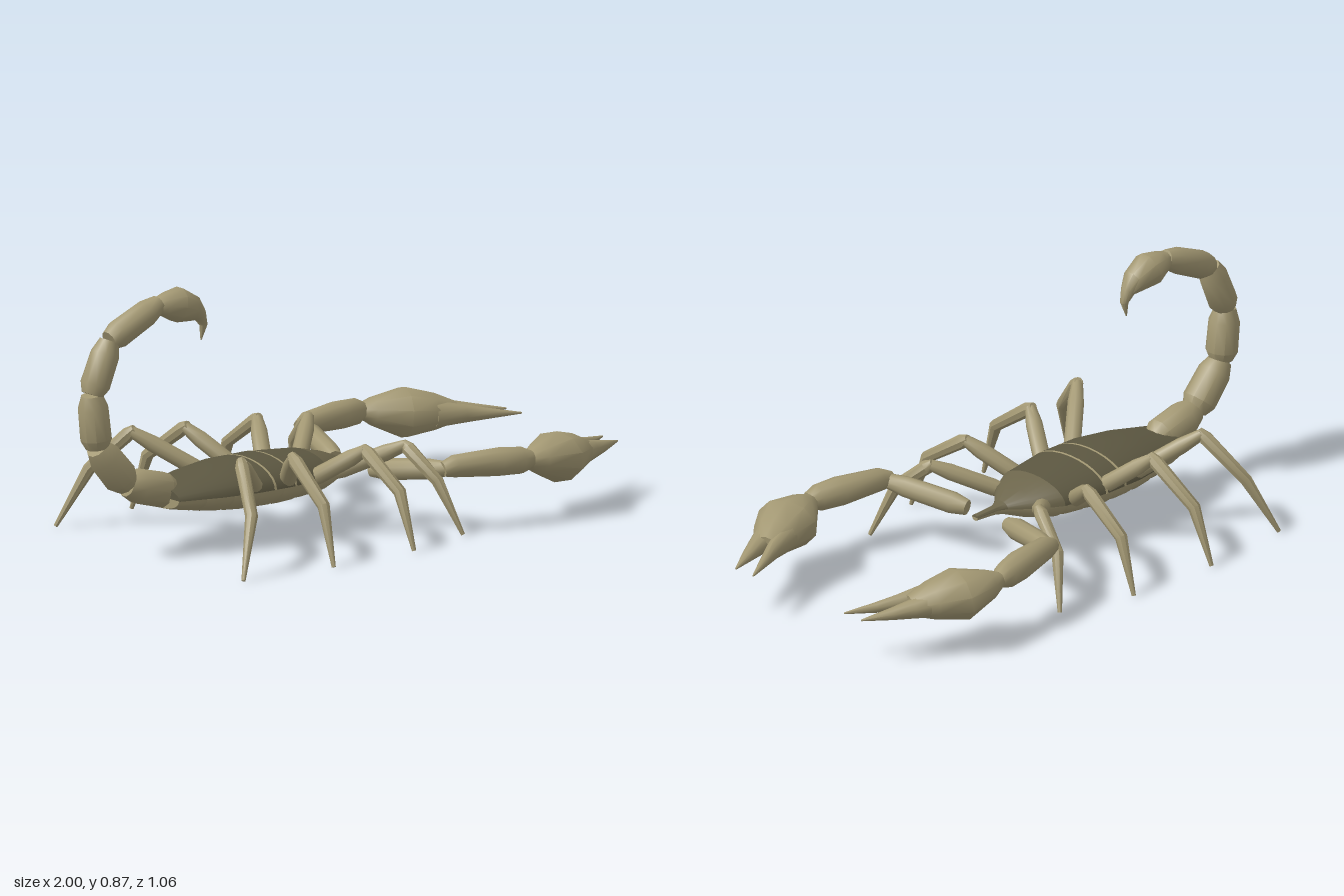
import * as THREE from 'three';
import { toCreasedNormals } from 'three/addons/utils/BufferGeometryUtils.js';

const V = (x, y, z) => new THREE.Vector3(x, y, z);
const UP = V(0, 1, 0);

// Lofts elliptical rings along a path. Each ring: [centre, radius along ref, radius across].
function loft(rings, ref = UP, sides = 10, start = 0, sweep = Math.PI * 2) {
  const pos = [], idx = [], n = rings.length, w = sides + 1;
  rings.forEach(([c, a, b = a], i) => {
    const t = rings[Math.min(i + 1, n - 1)][0].clone().sub(rings[Math.max(i - 1, 0)][0]).normalize();
    const u = ref.clone().addScaledVector(t, -ref.dot(t)).normalize();
    const v = t.clone().cross(u);
    for (let j = 0; j <= sides; j++) {
      const q = start + (sweep * j) / sides;
      const p = c.clone().addScaledVector(u, Math.cos(q) * a).addScaledVector(v, Math.sin(q) * b);
      pos.push(p.x, p.y, p.z);
    }
  });
  const first = n * w, last = first + 1;
  pos.push(...rings[0][0].toArray(), ...rings[n - 1][0].toArray());
  for (let j = 0; j < sides; j++) {
    for (let i = 0; i < n - 1; i++) {
      const a = i * w + j, c = a + w;
      idx.push(a, a + 1, c, a + 1, c + 1, c);
    }
    idx.push(first, j + 1, j, last, (n - 1) * w + j, (n - 1) * w + j + 1);
  }
  const g = new THREE.BufferGeometry();
  g.setAttribute('position', new THREE.Float32BufferAttribute(pos, 3));
  g.setIndex(idx);
  return toCreasedNormals(g, 0.75);
}

// One armoured joint: a barrel narrowed at both ends.
function joint(a, b, r0, r1, ref) {
  const at = (t, k) => [a.clone().lerp(b, t), (r0 + (r1 - r0) * t) * k];
  return loft([at(0, 0.7), at(0.18, 1), at(0.75, 1), at(1, 0.7)], ref);
}

// Body outline: x, half width, top y, bottom y
const RIM = 0.19;
const BODY = [
  [-0.675, 0.103, 0.225, 0.15], [-0.53, 0.147, 0.255, 0.123], [-0.4, 0.17, 0.27, 0.112],
  [-0.25, 0.172, 0.27, 0.108], [-0.08, 0.145, 0.256, 0.12], [0, 0.1, 0.237, 0.138],
  [0.07, 0.032, 0.21, 0.165], [0.1, 0.016, 0.203, 0.172], [0.19, 0.013, 0.198, 0.178],
];
function bodyAt(x) {
  let i = 0;
  while (i < BODY.length - 2 && x > BODY[i + 1][0]) i++;
  const t = (x - BODY[i][0]) / (BODY[i + 1][0] - BODY[i][0]);
  return BODY[i].map((v, k) => v + (BODY[i + 1][k] - v) * t);
}
const topRing = ([x, w, top], k = 1) => [V(x, RIM, 0), (top - RIM) * k, w * k];
const bottomRing = ([x, w, , low], k = 1) => [V(x, RIM, 0), (RIM - low) * k, w * k];

export function createModel() {
  const model = new THREE.Group();
  const material = (name, color) => {
    const m = new THREE.MeshStandardMaterial({ color });
    m.name = name;
    return m;
  };
  const shell = material('tan shell', 0xa39873);
  const dark = material('dark back', 0x5c5741);
  const brown = material('brown head', 0x6c654b);
  const add = (name, geometry, mat = shell, parent = model) => {
    const mesh = new THREE.Mesh(geometry, mat);
    mesh.name = name;
    parent.add(mesh);
  };

  // Dark back, head shield, snout and belly
  const upper = (rows) => loft(rows.map((r) => topRing(r)), UP, 14, -Math.PI / 2, Math.PI);
  add('back', upper(BODY.slice(0, 5)), dark);
  add('headShield', upper(BODY.slice(4, 7)), brown);
  add('snoutTop', upper(BODY.slice(6)), brown);
  add('snoutBottom', loft(BODY.slice(5).map((r) => bottomRing(r)), UP, 8, Math.PI / 2, Math.PI));
  const plates = 7, step = 0.675 / plates;
  for (let i = 0; i < plates; i++) {
    const x = -0.675 + i * step;
    const rings = [[0, 0.96], [0.2, 1], [0.8, 1], [1, 0.96]].map(([t, k]) => bottomRing(bodyAt(x + t * step), k));
    add('bellyPlate', loft(rings, UP, 14, Math.PI / 2, Math.PI));
  }
  // Thin pale seams across the back
  for (const x of [-0.33, -0.245]) {
    const rings = [x - 0.004, x + 0.004].map((p) => topRing(bodyAt(p), 1.006));
    add('backSeam', loft(rings, UP, 14, -Math.PI / 2, Math.PI));
  }

  // Curled tail
  const tail = new THREE.Group();
  tail.name = 'tail';
  model.add(tail);
  const side = V(0, 0, 1);
  const spine = [[-0.63, 0.2], [-0.815, 0.25], [-0.937, 0.39], [-0.958, 0.57], [-0.885, 0.74], [-0.68, 0.832]]
    .map(([x, y]) => V(x, y, 0));
  const thick = [0.06, 0.058, 0.054, 0.051, 0.048, 0.043];
  for (let i = 0; i < 5; i++) {
    add('tailSegment', joint(spine[i], spine[i + 1], thick[i], thick[i + 1], side), shell, tail);
  }
  const sting = [[-0.685, 0.825, 0.03], [-0.66, 0.825, 0.04], [-0.605, 0.818, 0.059], [-0.54, 0.795, 0.043],
    [-0.51, 0.77, 0.024], [-0.494, 0.735, 0.014], [-0.504, 0.684, 0.002]];
  add('stinger', loft(sting.map(([x, y, r]) => [V(x, y, 0), r]), side), shell, tail);

  // Legs: hip, knee, ankle, foot
  const legs = [
    [[-0.36, 0.18, 0.11], [-0.565, 0.335, 0.285], [-0.632, 0.195, 0.42], [-0.718, 0.005, 0.485]],
    [[-0.24, 0.18, 0.11], [-0.345, 0.318, 0.28], [-0.36, 0.195, 0.455], [-0.372, 0.005, 0.522]],
    [[-0.15, 0.18, 0.11], [-0.045, 0.3, 0.28], [-0.035, 0.19, 0.445], [-0.028, 0.005, 0.51]],
    [[-0.04, 0.18, 0.08], [0.145, 0.282, 0.25], [0.182, 0.18, 0.37], [0.236, 0.005, 0.435]],
  ];
  for (const s of [1, -1]) {
    const label = s > 0 ? 'left' : 'right';
    const P = (p) => V(p[0], p[1], p[2] * s);
    for (const points of legs) {
      const leg = new THREE.Group();
      leg.name = label + 'Leg';
      model.add(leg);
      const [hip, knee, ankle, foot] = points.map(P);
      add('thigh', joint(hip, knee, 0.029, 0.027), shell, leg);
      add('shin', loft([
        [knee.clone().lerp(ankle, -0.08), 0.014], [knee.clone().lerp(ankle, 0.08), 0.024],
        [ankle, 0.021], [foot, 0.007],
      ], UP, 8), shell, leg);
    }

    // Claw arm: upper arm, forearm, bulbous hand, two fingers
    const arm = new THREE.Group();
    arm.name = label + 'ClawArm';
    model.add(arm);
    add('upperArm', joint(P([0.13, 0.175, 0.095]), P([0.225, 0.215, 0.375]), 0.037, 0.034), shell, arm);
    add('forearm', loft([
      [P([0.205, 0.215, 0.37]), 0.025], [P([0.245, 0.222, 0.38]), 0.038],
      [P([0.4, 0.219, 0.412]), 0.048, 0.052], [P([0.48, 0.215, 0.43]), 0.045, 0.043],
      [P([0.52, 0.214, 0.437]), 0.028],
    ]), shell, arm);
    add('hand', loft([
      [P([0.51, 0.213, 0.434]), 0.026, 0.03], [P([0.55, 0.207, 0.427]), 0.047, 0.056],
      [P([0.655, 0.193, 0.394]), 0.084, 0.107], [P([0.75, 0.188, 0.358]), 0.062, 0.077],
      [P([0.82, 0.183, 0.33]), 0.034, 0.045],
    ]), shell, arm);
    add('outerFinger', loft([
      [P([0.73, 0.187, 0.388]), 0.05, 0.052], [P([0.83, 0.182, 0.353]), 0.032, 0.034],
      [P([0.9, 0.178, 0.327]), 0.02, 0.022], [P([0.998, 0.174, 0.287]), 0.003],
    ]), shell, arm);
    add('innerFinger', loft([
      [P([0.73, 0.187, 0.325]), 0.045, 0.042], [P([0.83, 0.182, 0.288]), 0.03, 0.024],
      [P([0.9, 0.178, 0.255]), 0.018, 0.016], [P([0.998, 0.174, 0.208]), 0.003],
    ]), shell, arm);
  }
  return model;
}
